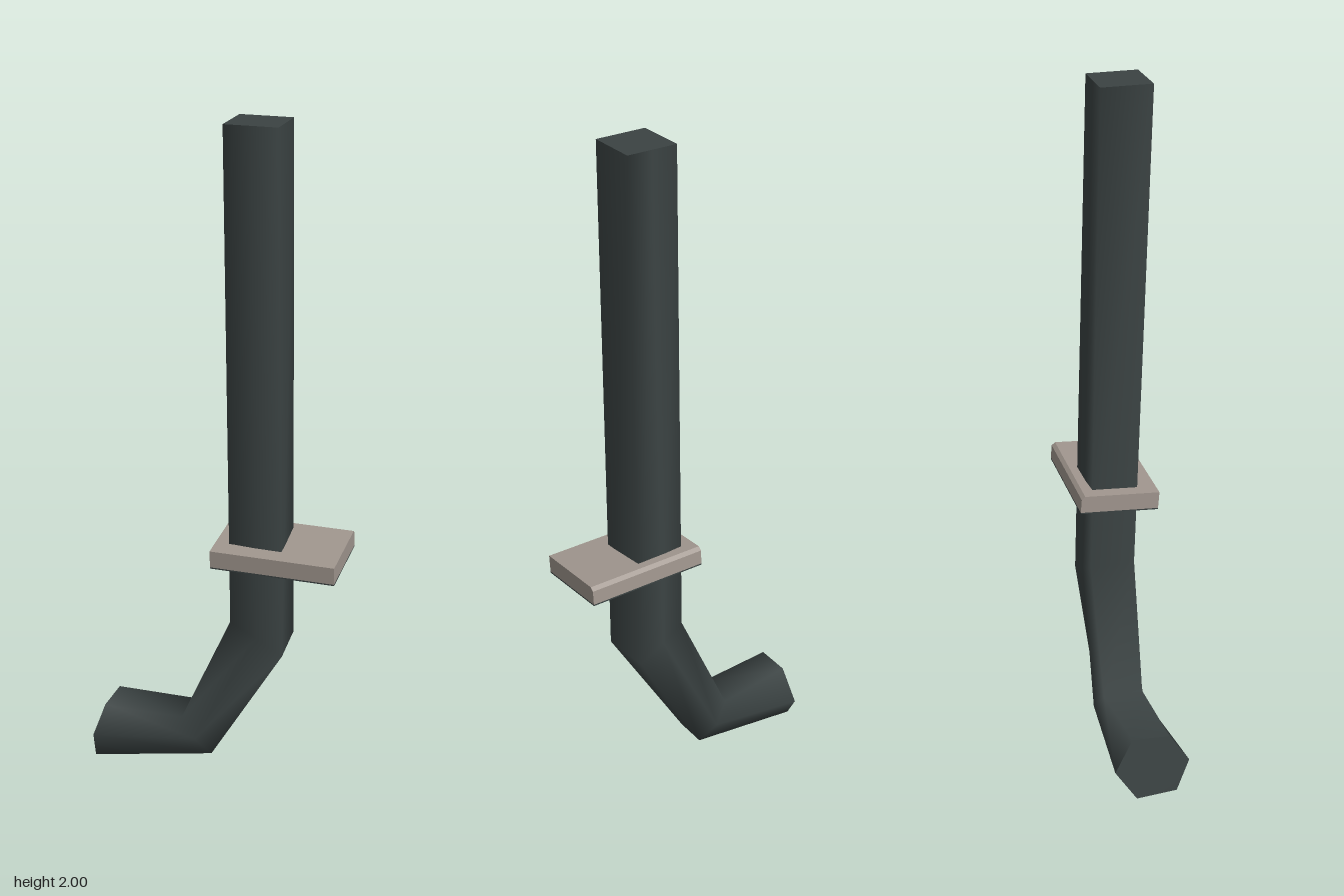
import * as THREE from 'three';

const darkMetal = new THREE.MeshStandardMaterial({ color: 0x3b4343 });
darkMetal.name = 'dark metal';
const paleStone = new THREE.MeshStandardMaterial({ color: 0xa0968e });
paleStone.name = 'pale stone';

// Six-sided cross-sections from the flared mouth to the square top.
// Order: back middle, back inner, front inner, front middle, front outer, back outer.
const rings = [
  [[-0.355, 0.09, -0.12], [-0.345, 0.19, -0.065], [-0.35, 0.185, 0.045], [-0.37, 0.105, 0.1], [-0.38, 0.01, 0.06], [-0.375, 0, -0.06]],
  [[-0.06, 0.12, -0.105], [-0.105, 0.18, -0.085], [-0.105, 0.18, 0.035], [-0.06, 0.12, 0.052], [-0.015, 0.06, 0.02], [-0.015, 0.06, -0.075]],
  [[0.125, 0.5, -0.087], [0.055, 0.54, -0.08], [0.055, 0.54, 0.055], [0.135, 0.5, 0.06], [0.215, 0.455, 0.06], [0.207, 0.46, -0.09]],
  [[0.12, 2, -0.045], [0.045, 2, -0.045], [0.045, 2, 0.102], [0.12, 2, 0.102], [0.195, 2, 0.102], [0.195, 2, -0.045]],
];

function meshFrom(points, index, name) {
  const geometry = new THREE.BufferGeometry();
  geometry.setAttribute('position', new THREE.Float32BufferAttribute(points.flat(), 3));
  geometry.setIndex(index);
  geometry.computeVertexNormals();
  const mesh = new THREE.Mesh(geometry, darkMetal);
  mesh.name = name;
  return mesh;
}

// Smooth skin joining consecutive cross-sections
function pipeWall() {
  const n = 6, index = [];
  for (let r = 0; r < rings.length - 1; r++) {
    for (let j = 0; j < n; j++) {
      const a = r * n + j, b = r * n + (j + 1) % n;
      index.push(a, b, b + n, a, b + n, a + n);
    }
  }
  return meshFrom(rings.flat(), index, 'pipeWall');
}

// Flat cap filling one cross-section
function cap(ring, name) {
  const index = [];
  for (let j = 1; j < 5; j++) index.push(0, j, j + 1);
  return meshFrom(ring, index, name);
}

export function createModel() {
  const model = new THREE.Group();
  model.name = 'bentPipe';

  const pipe = new THREE.Group();
  pipe.name = 'pipe';
  pipe.add(pipeWall(), cap([...rings[0]].reverse(), 'mouthCap'), cap(rings[3], 'topCap'));

  // Tilted collar plate with a chamfered upper back edge
  const collar = new THREE.Group();
  collar.name = 'collar';
  const profile = new THREE.Shape([
    [-0.118, -0.024], [0.118, -0.024], [0.118, 0.018], [0.108, 0.028], [-0.118, 0.028],
  ].map(([x, y]) => new THREE.Vector2(x, y)));
  const slabGeometry = new THREE.ExtrudeGeometry(profile, { depth: 0.365, bevelEnabled: false });
  slabGeometry.rotateY(Math.PI / 2);
  const slab = new THREE.Mesh(slabGeometry, paleStone);
  slab.name = 'collarSlab';

  // Dark underside of the collar
  const underside = new THREE.Mesh(new THREE.BoxGeometry(0.365, 0.004, 0.236), darkMetal);
  underside.name = 'collarUnderside';
  underside.position.set(0.1825, -0.026, 0);

  collar.add(slab, underside);
  collar.position.set(0.013, 0.771, 0);
  collar.rotation.x = 0.08;

  model.add(pipe, collar);
  return model;
}
